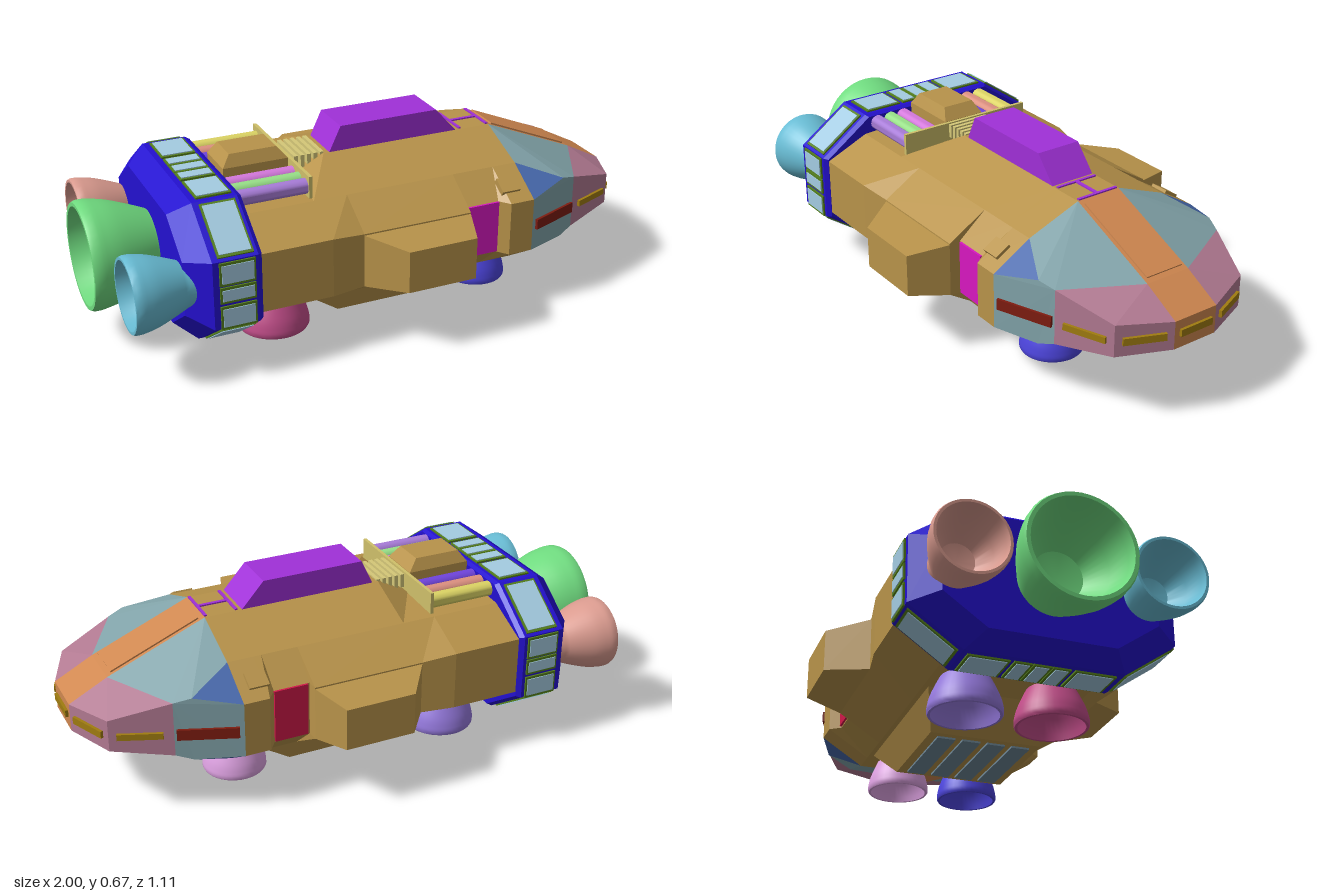
import * as THREE from 'three';
import { ConvexGeometry } from 'three/addons/geometries/ConvexGeometry.js';
import { toCreasedNormals } from 'three/addons/utils/BufferGeometryUtils.js';

const TAN = 0xb8934a, TEAL = 0x82a4aa, PINK = 0xb27a92, ORANGE = 0xd08850, NAVY = 0x4668ac, BLUE = 0x2410d0;
const V = (x, y, z) => new THREE.Vector3(x, y, z);

export function createModel() {
  const root = new THREE.Group();

  function add(name, geo, color, flat = true) {
    const mesh = new THREE.Mesh(geo, new THREE.MeshStandardMaterial({ color, flatShading: flat }));
    mesh.name = name;
    root.add(mesh);
    return mesh;
  }
  function box(name, color, w, h, d, x, y, z) {
    const m = add(name, new THREE.BoxGeometry(w, h, d), color);
    m.position.set(x, y, z);
    return m;
  }
  function fromPositions(pos) {
    const g = new THREE.BufferGeometry();
    g.setAttribute('position', new THREE.Float32BufferAttribute(pos, 3));
    g.computeVertexNormals();
    return g;
  }
  // solid from rectangles [y, x0, x1, halfZ] stacked in y
  const stack = (name, color, rects) => add(name, new ConvexGeometry(rects.flatMap(([y, x0, x1, z]) =>
    [V(x0, y, z), V(x1, y, z), V(x0, y, -z), V(x1, y, -z)])), color);

  // half outline [z, y] from the roof down, mirrored to a full ring
  const ring = (x, half) => [
    ...half.map(([z, y]) => V(x, y, z)),
    ...half.slice().reverse().map(([z, y]) => V(x, y, -z))];
  function loft(sections) {
    const pos = [], tri = (...p) => p.forEach(v => pos.push(v.x, v.y, v.z));
    const rings = sections.map(s => ring(...s)), n = rings[0].length;
    for (let i = 0; i < rings.length - 1; i++) {
      const a = rings[i], b = rings[i + 1];
      for (let j = 0; j < n; j++) {
        const k = (j + 1) % n;
        tri(a[j], a[k], b[j]);
        tri(a[k], b[k], b[j]);
      }
    }
    const first = rings[0], last = rings[rings.length - 1];
    for (let j = 1; j < n - 1; j++) {
      tri(first[0], first[j + 1], first[j]);
      tri(last[0], last[j], last[j + 1]);
    }
    return fromPositions(pos);
  }

  // main hull: stepped down at the rear, notched at the doors
  const hull = (roof, z, yU = 0.425) => [[0.085, roof], [0.28, Math.min(roof, 0.51)], [z, yU], [z, 0.23], [0.27, 0.135]];
  add('hull', loft([
    [-0.54, hull(0.52, 0.44, 0.44)], [-0.27, hull(0.52, 0.44, 0.44)], [-0.15, hull(0.585, 0.42)],
    [0.25, hull(0.585, 0.42)], [0.252, hull(0.585, 0.38)], [0.38, hull(0.585, 0.38)],
    [0.41, hull(0.585, 0.42)], [0.5, hull(0.585, 0.42)]]), TAN);
  stack('keel', TAN, [[0.15, -0.3, 0.4, 0.26], [0.03, -0.15, 0.25, 0.2]]);
  for (const z of [-0.135, -0.045, 0.045, 0.135]) box('keelGrille', 0x6f8898, 0.35, 0.012, 0.065, 0.05, 0.029, z);

  // side pods, doors and shoulder vents
  for (const s of [1, -1]) {
    const pts = [[-0.15, 0.25, 0.23, 0.42, 0.37], [-0.15, 0.25, 0.23, 0.42, 0.42], [-0.05, 0.2, 0.25, 0.4, 0.557]]
      .flatMap(([x0, x1, y0, y1, z]) => [V(x0, y0, z * s), V(x1, y0, z * s), V(x0, y1, z * s), V(x1, y1, z * s)]);
    add('sidePod', new ConvexGeometry(pts), TAN);
    box('door', s > 0 ? 0xd818c0 : 0xd01848, 0.12, 0.19, 0.02, 0.32, 0.33, 0.378 * s);
    const vent = box('shoulderVent', TAN, 0.07, 0.02, 0.06, 0.43, 0.465, 0.355 * s);
    vent.rotation.x = 0.55 * s;
  }

  // nose corner points, from the hull joint (0) over the middle (1) to the tip (2)
  const T0 = [0.5, 0.585, 0.085], S0 = [0.5, 0.51, 0.28], U0 = [0.5, 0.425, 0.42], L0 = [0.5, 0.23, 0.42],
    B0 = [0.5, 0.135, 0.27], C0 = [0.5, 0.135, 0.085], W = [0.655, 0.455, 0.36], X = [0.655, 0.225, 0.36],
    T1 = [0.85, 0.44, 0.085], U1 = [0.713, 0.44, 0.34], L1 = [0.713, 0.245, 0.34], B1 = [0.713, 0.2, 0.257],
    C1 = [0.73, 0.2, 0.085], T2 = [0.985, 0.37, 0.085], U2 = [0.91, 0.383, 0.263],
    L2 = [0.91, 0.27, 0.263], C2 = [0.985, 0.27, 0.085];
  const mir = ([x, y, z]) => [x, y, -z];
  const noseCentre = V(0.6, 0.33, 0);
  // fan-filled faces, turned outwards and optionally mirrored to the other side
  function plates(name, color, faces, mirrored = true) {
    const pos = [];
    for (const f of mirrored ? [...faces, ...faces.map(p => p.map(mir))] : faces) {
      for (let i = 1; i < f.length - 1; i++) {
        let [a, b, c] = [f[0], f[i], f[i + 1]].map(p => V(...p));
        const n = b.clone().sub(a).cross(c.clone().sub(a));
        if (n.dot(a.clone().add(b).add(c).divideScalar(3).sub(noseCentre)) < 0) [b, c] = [c, b];
        for (const v of [a, b, c]) pos.push(v.x, v.y, v.z);
      }
    }
    add(name, fromPositions(pos), color);
  }
  plates('noseRear', TEAL, [[T0, S0, W, U1, T1], [U1, W, U0, L0, X, L1], [B0, C0, C1, B1], [B0, B1, L1, X]]);
  plates('noseCorner', NAVY, [[S0, U0, W], [L0, B0, X]]);
  plates('noseFront', PINK, [[T1, T2, U2, U1], [U1, U2, L2, L1], [U2, T2, C2, L2], [L1, L2, B1], [B1, L2, C2, C1]]);
  plates('noseSpine', ORANGE, [[T0, T1, mir(T1), mir(T0)], [T1, T2, mir(T2), mir(T1)], [T2, C2, mir(C2), mir(T2)],
    [C2, C1, mir(C1), mir(C2)], [C1, C0, mir(C0), mir(C1)]], false);
  const hatch = box('noseHatch', ORANGE, 0.34, 0.012, 0.145, 0.675, 0.512, 0);
  hatch.rotation.z = -Math.atan2(0.145, 0.35);

  // light strips and red slots around the nose
  function strip(name, color, x0, z0, x1, z1, h, s) {
    const m = box(name, color, Math.hypot(x1 - x0, z1 - z0), h, 0.02, (x0 + x1) / 2, 0.325, s * (z0 + z1) / 2);
    m.rotation.y = -Math.atan2(s * (z1 - z0), x1 - x0);
  }
  box('frontLight', 0xa07c10, 0.03, 0.025, 0.13, 0.98, 0.325, 0);
  for (const s of [1, -1]) {
    strip('noseLight', 0xa07c10, 0.975, 0.11, 0.92, 0.24, 0.025, s);
    strip('sideLight', 0xa07c10, 0.885, 0.273, 0.745, 0.328, 0.022, s);
    strip('sideSlot', 0x7e1c10, 0.705, 0.342, 0.515, 0.414, 0.038, s);
  }

  // roof fairing, latch, rear box, bulkhead, steps and tanks
  stack('roofFairing', 0xa030d8, [[0.58, -0.13, 0.37, 0.084], [0.675, -0.085, 0.285, 0.084]]);
  box('roofLatch', 0xa030d8, 0.12, 0.008, 0.012, 0.44, 0.586, 0);
  for (const x of [0.385, 0.495]) box('roofLatch', 0xa030d8, 0.01, 0.008, 0.16, x, 0.586, 0);
  stack('roofBox', TAN, [[0.51, -0.515, -0.28, 0.08], [0.59, -0.515, -0.28, 0.08], [0.632, -0.485, -0.315, 0.06]]);
  box('bulkhead', 0xcfc06a, 0.012, 0.1, 0.52, -0.272, 0.54, 0);
  for (let i = 0; i < 5; i++) box('step', 0xd5c878, 0.014, 0.05, 0.16, -0.25 + i * 0.024, 0.565, 0);
  [[-0.228, 0xdcd464], [-0.172, 0xdc9080], [-0.116, 0x7044dc], [0.116, 0xd478dc], [0.172, 0x98e088], [0.228, 0xa87cd8]]
    .forEach(([z, color]) => {
      const tank = add('tank', toCreasedNormals(new THREE.CylinderGeometry(0.027, 0.027, 0.24, 20), 0.7), color, false);
      tank.rotation.z = Math.PI / 2;
      tank.position.set(-0.398, 0.546, z);
    });

  // engine collar
  const collar = [[0.27, 0.58], [0.455, 0.45], [0.455, 0.21], [0.27, 0.08]];
  const shrink = (k) => collar.map(([z, y]) => [z * k, 0.33 + (y - 0.33) * k]);
  add('engineCollar', loft([[-0.76, shrink(0.8)], [-0.69, collar], [-0.535, collar], [-0.52, shrink(0.97)]]), BLUE);

  // framed panels round the collar: [y, z, width, tilt]
  const tilt = Math.atan2(0.13, 0.185), H = Math.PI / 2;
  const panels = [[0.58, 0, 0.05, 0], [0.58, 0.065, 0.05, 0], [0.58, 0.18, 0.13, 0], [0.515, 0.3625, 0.19, tilt],
    [0.405, 0.455, 0.07, H], [0.33, 0.455, 0.045, H], [0.25, 0.455, 0.07, H],
    [0.145, 0.3625, 0.19, Math.PI - tilt], [0.08, 0.18, 0.13, 0], [0.08, 0.065, 0.05, 0], [0.08, 0, 0.05, 0]];
  for (const [y, z, w, a] of panels) for (const s of z ? [1, -1] : [1]) {
    box('panelFrame', 0x55801c, 0.122, 0.012, w + 0.012, -0.608, y, z * s).rotation.x = a * s;
    box('panel', 0xa4cce2, 0.108, 0.018, w - 0.006, -0.608, y, z * s).rotation.x = a * s;
  }

  // hollow bell opening along local +y
  function bell(name, color, R, len, throat, x, y, z) {
    const t = throat;
    const outer = new THREE.SplineCurve([[t, 0], [t + (1 - t) * 0.45, 0.3], [t + (1 - t) * 0.83, 0.6], [1, 0.85]]
      .map(([r, h]) => new THREE.Vector2(r * R, h * len))).getPoints(10);
    const rim = [[1, 0.95], [0.97, 1], [0.9, 1], [0.87, 0.85], [0.75, 0.5], [0.45, 0.2], [0, 0.15]]
      .map(([r, h]) => new THREE.Vector2(r * R, h * len));
    const start = new THREE.Vector2(t * R, -0.05);
    const m = add(name, toCreasedNormals(new THREE.LatheGeometry([start, ...outer, ...rim], 40), 0.6), color, false);
    m.material.side = THREE.DoubleSide;
    m.position.set(x, y, z);
    return m;
  }
  const rear = [['mainEngine', 0x70dc80, 0.19, 0.25, 0.62, -0.75, 0.328, 0],
    ['sideEngine', 0x68bcd4, 0.13, 0.19, 0.6, -0.75, 0.328, 0.327],
    ['sideEngine', 0xdc9c90, 0.13, 0.19, 0.6, -0.75, 0.328, -0.327]];
  for (const e of rear) bell(...e).rotation.z = Math.PI / 2;
  const lower = [['rearThruster', 0xc04c88, 0.127, 0.138, 0.64, -0.375, 0.143, 0.148],
    ['rearThruster', 0x9478dc, 0.127, 0.138, 0.64, -0.375, 0.143, -0.156],
    ['frontThruster', 0x4c44dc, 0.112, 0.123, 0.68, 0.435, 0.143, 0.132],
    ['frontThruster', 0xdca0e0, 0.112, 0.123, 0.68, 0.435, 0.143, -0.14]];
  for (const e of lower) bell(...e).rotation.x = Math.PI;

  return root;
}
